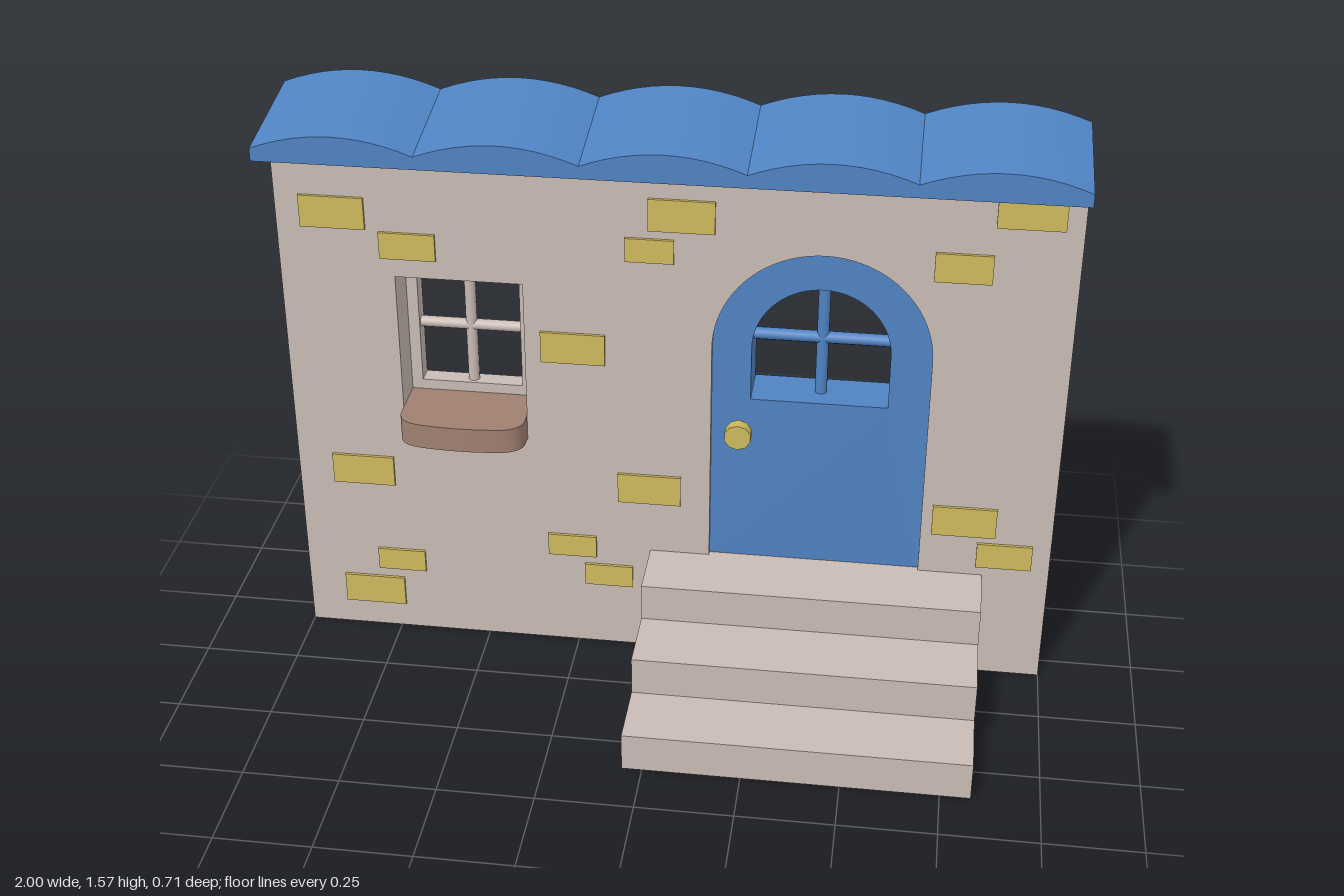
import * as THREE from 'three';
import { toCreasedNormals } from 'three/addons/utils/BufferGeometryUtils.js';

const mat = (name, color) => {
  const m = new THREE.MeshStandardMaterial({ color });
  m.name = name;
  return m;
};

// Rectangle outline, written into a Shape or a hole Path
function rect(target, x0, y0, x1, y1) {
  target.moveTo(x0, y0);
  target.lineTo(x1, y0);
  target.lineTo(x1, y1);
  target.lineTo(x0, y1);
  target.closePath();
  return target;
}

// Round-headed outline: straight jambs with a semicircle on top
function arch(target, cx, y0, spring, r) {
  target.moveTo(cx - r, y0);
  target.lineTo(cx + r, y0);
  target.lineTo(cx + r, spring);
  target.absarc(cx, spring, r, 0, Math.PI, false);
  target.closePath();
  return target;
}

// Extrude a shape between two depths
function slab(shape, z0, z1) {
  const g = new THREE.ExtrudeGeometry(shape, { depth: z1 - z0, bevelEnabled: false, curveSegments: 20 });
  g.translate(0, 0, z0);
  return g;
}

export function createModel() {
  const stone = mat('stone', 0xc9bbb4);
  const blue = mat('blue paint', 0x4f83c3);
  const yellow = mat('yellow brick', 0xcfba5e);
  const brown = mat('brown sill', 0xa08072);

  const model = new THREE.Group();
  model.name = 'cottageFront';
  const add = (name, geometry, material, parent = model) => {
    const mesh = new THREE.Mesh(geometry, material);
    mesh.name = name;
    parent.add(mesh);
    return mesh;
  };
  const group = (name) => {
    const g = new THREE.Group();
    g.name = name;
    model.add(g);
    return g;
  };
  const smooth = (g) => toCreasedNormals(g, 0.4);

  // Glazing bars: one upright and one crosswise rod
  const bars = (parent, material, r, z, x, y, x0, x1, y0, y1) => {
    const upright = new THREE.CylinderGeometry(r, r, y1 - y0, 10);
    add('uprightBar', upright, material, parent).position.set(x, (y0 + y1) / 2, z);
    const cross = new THREE.CylinderGeometry(r, r, x1 - x0, 10).rotateZ(Math.PI / 2);
    add('crossBar', cross, material, parent).position.set((x0 + x1) / 2, y, z);
  };

  // Wall with door and window openings
  const back = -0.346, front = -0.182;
  const wall = rect(new THREE.Shape(), -1, 0, 1, 1.445);
  wall.holes.push(arch(new THREE.Path(), 0.383, 0.31, 0.933, 0.277));
  wall.holes.push(rect(new THREE.Path(), -0.703, 0.632, -0.375, 1.082));
  add('wall', smooth(slab(wall, back, front)), stone);

  // Door with arched light
  const door = group('door');
  const leaf = arch(new THREE.Shape(), 0.383, 0.31, 0.933, 0.277);
  leaf.holes.push(arch(new THREE.Path(), 0.381, 0.787, 0.935, 0.175));
  add('doorLeaf', smooth(slab(leaf, -0.328, -0.196)), blue, door);
  bars(door, blue, 0.016, -0.262, 0.381, 0.945, 0.2, 0.56, 0.78, 1.115);

  // Door knob
  const disc = new THREE.CylinderGeometry(0.035, 0.035, 0.032, 10).rotateX(Math.PI / 2);
  add('knob', disc, yellow, door).position.set(0.18, 0.707, -0.147);
  const stem = new THREE.CylinderGeometry(0.015, 0.015, 0.05, 10).rotateX(Math.PI / 2);
  add('knobStem', stem, yellow, door).position.set(0.18, 0.707, -0.183);

  // Window frame
  const win = group('window');
  const frame = rect(new THREE.Shape(), -0.703, 0.7, -0.375, 1.082);
  frame.holes.push(rect(new THREE.Path(), -0.674, 0.73, -0.406, 1.052));
  add('windowFrame', slab(frame, -0.336, -0.286), stone, win);
  bars(win, stone, 0.015, -0.311, -0.54, 0.892, -0.68, -0.4, 0.72, 1.06);

  // Sill with rounded front corners, outlined in plan
  const plan = new THREE.Shape();
  plan.moveTo(-0.703, 0.338);
  plan.lineTo(-0.703, 0.15);
  plan.quadraticCurveTo(-0.7, 0.105, -0.645, 0.096);
  plan.quadraticCurveTo(-0.539, 0.082, -0.433, 0.096);
  plan.quadraticCurveTo(-0.378, 0.105, -0.375, 0.15);
  plan.lineTo(-0.375, 0.338);
  plan.closePath();
  add('windowSill', smooth(slab(plan, 0.634, 0.702).rotateX(-Math.PI / 2)), brown, win);

  // Steps: stair profile (z, y) swept across x
  const stairs = new THREE.Shape();
  [[0.184, 0], [0.184, 0.31], [0.01, 0.31], [0.01, 0.208], [-0.174, 0.208],
    [-0.174, 0.104], [-0.355, 0.104], [-0.355, 0]]
    .forEach(([z, y], i) => (i ? stairs.lineTo(z, y) : stairs.moveTo(z, y)));
  add('steps', slab(stairs, -0.052, 0.828).rotateY(Math.PI / 2), stone);

  // Roof: scalloped profile whose top slopes down to the front
  const roof = new THREE.Shape();
  const waves = 5, parts = 12, eave = 1.445;
  roof.moveTo(-1, eave);
  roof.lineTo(1, eave);
  for (let i = waves * parts; i >= 0; i--) {
    const u = (i % parts) / parts;
    roof.lineTo(-1 + (2 * i) / (waves * parts), 1.525 + 0.16 * u * (1 - u));
  }
  const roofZ0 = -0.354, roofZ1 = -0.034;
  const tiles = slab(roof, roofZ0, roofZ1);
  const p = tiles.attributes.position;
  for (let i = 0; i < p.count; i++) {
    if (p.getY(i) > eave + 0.01) {
      p.setY(i, p.getY(i) - 0.047 * (p.getZ(i) - roofZ0) / (roofZ1 - roofZ0));
    }
  }
  add('roof', smooth(tiles), blue);

  // Scattered bricks: centre x, y, width, height
  const bricks = group('bricks');
  [[-0.854, 1.254, 0.166, 0.086], [0.028, 1.296, 0.166, 0.086], [0.872, 1.357, 0.166, 0.086],
    [-0.25, 0.91, 0.166, 0.086], [-0.823, 0.503, 0.166, 0.086], [-0.054, 0.503, 0.166, 0.086],
    [0.771, 0.473, 0.166, 0.086], [-0.816, 0.118, 0.166, 0.086], [-0.666, 1.17, 0.144, 0.072],
    [0.72, 1.2, 0.142, 0.077], [0.881, 0.374, 0.144, 0.072], [-0.052, 1.198, 0.123, 0.064],
    [-0.262, 0.31, 0.13, 0.064], [-0.164, 0.222, 0.13, 0.064], [-0.735, 0.222, 0.13, 0.064]]
    .forEach(([x, y, w, h]) => {
      add('brick', new THREE.BoxGeometry(w, h, 0.016), yellow, bricks).position.set(x, y, -0.182);
    });

  return model;
}
